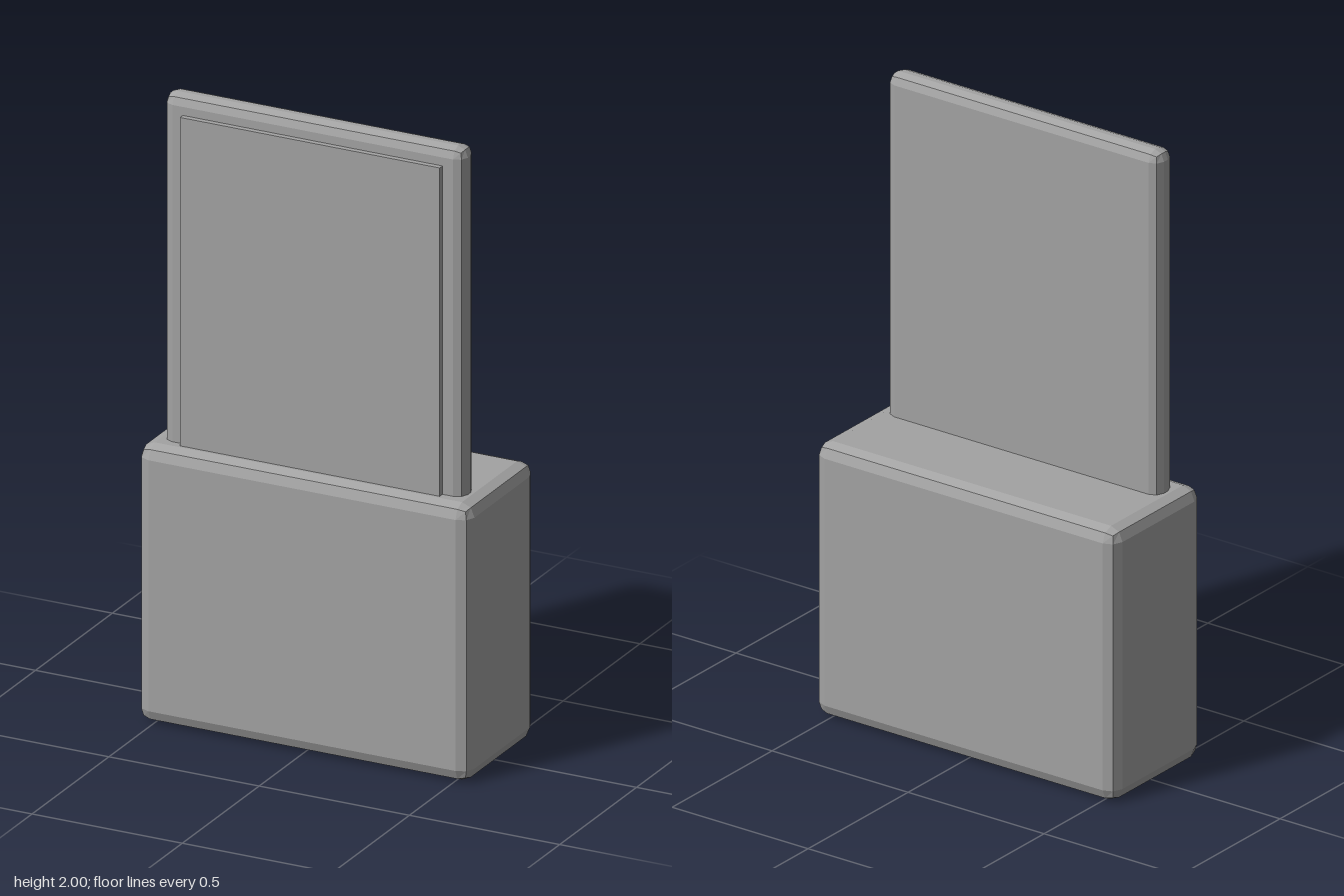
import * as THREE from 'three';
import { RoundedBoxGeometry } from 'three/addons/geometries/RoundedBoxGeometry.js';

const grey = new THREE.MeshStandardMaterial({ color: 0xa3a3a3 });
grey.name = 'grey';

// Box between two corners, with two-step flat bevels when a radius is given
function block(name, [x0, y0, z0], [x1, y1, z1], radius = 0) {
  const size = [x1 - x0, y1 - y0, z1 - z0];
  const geometry = radius
    ? new RoundedBoxGeometry(...size, 1, radius)
    : new THREE.BoxGeometry(...size);
  // The rounded box is unindexed, so this gives faceted normals
  geometry.computeVertexNormals();
  const mesh = new THREE.Mesh(geometry, grey);
  mesh.name = name;
  mesh.position.set((x0 + x1) / 2, (y0 + y1) / 2, (z0 + z1) / 2);
  return mesh;
}

export function createModel() {
  const model = new THREE.Group();
  model.name = 'cabinetWithPanel';
  model.add(
    // Wide bevelled body
    block('base', [-0.553, 0, -0.222], [0.553, 0.888, 0.222], 0.042),
    // Upright slab rising out of the body, near its front
    block('backPanel', [-0.5, 0.75, 0.067], [0.5, 2, 0.152], 0.033),
    // Thin raised plate on the front of the slab
    block('frontPlate', [-0.432, 0.8, 0.145], [0.432, 1.94, 0.17]),
  );
  return model;
}
